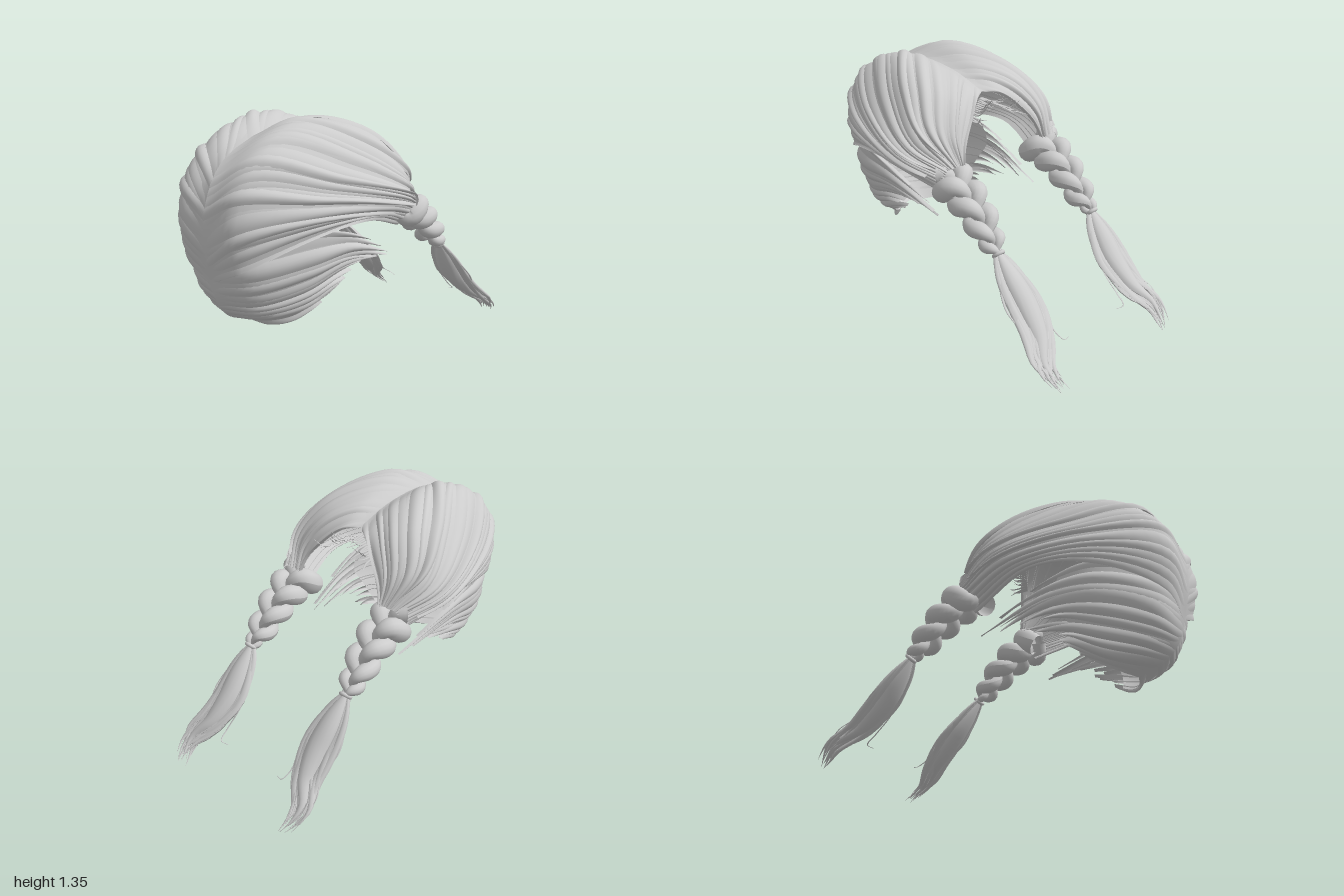
import * as THREE from 'three';

const V = (x, y, z) => new THREE.Vector3(x, y, z);
const curve = (pts) => new THREE.CatmullRomCurve3(pts.map((p) => (p.isVector3 ? p : V(...p))));
const clamp = THREE.MathUtils.clamp, lerp = THREE.MathUtils.lerp;
const material = new THREE.MeshStandardMaterial({ color: 0xcccccc, side: THREE.DoubleSide });

// Small seeded generator
let seed = 1;
const rnd = (a, b) => {
  seed = (seed * 16807) % 2147483647;
  return a + (b - a) * (seed / 2147483647);
};

// Grid surface from fn(s, t); side = -1 mirrors it in x
function surface(name, fn, ns, nt, side) {
  const pos = [], idx = [];
  for (let j = 0; j <= nt; j++) {
    for (let i = 0; i <= ns; i++) {
      const p = fn(i / ns, j / nt);
      pos.push(p.x * side, p.y, p.z);
      if (i === ns || j === nt) continue;
      const a = j * (ns + 1) + i, b = a + 1, c = a + ns + 1, d = c + 1;
      if (side > 0) idx.push(a, b, c, b, d, c);
      else idx.push(a, c, b, b, c, d);
    }
  }
  const g = new THREE.BufferGeometry();
  g.setAttribute('position', new THREE.Float32BufferAttribute(pos, 3));
  g.setIndex(idx);
  g.computeVertexNormals();
  const m = new THREE.Mesh(g, material);
  m.name = name;
  return m;
}

// Tapered lock swept along a path; radius(t) gives width, flat squashes its depth
function strand(name, path, radius, side, flat, ns = 8, nt = 20) {
  return surface(name, (s, t) => {
    const tan = path.getTangent(t);
    const across = V(0, 1, 0).cross(tan).normalize();
    const out = V().crossVectors(tan, across);
    const a = -s * Math.PI * 2, r = radius(t);
    return path.getPoint(t)
      .addScaledVector(across, Math.cos(a) * r)
      .addScaledVector(out, Math.sin(a) * r * flat);
  }, ns, nt, side);
}

// Patch through rows of guide hairs: u across the rows, v along the hair
function patch(rows) {
  const hairs = rows.map(curve);
  const at = (u, v) => curve(hairs.map((h) => h.getPoint(clamp(v, 0, 1)))).getPoint(clamp(u, 0, 1));
  const normal = (u, v) => {
    const vv = clamp(v, 0.02, 0.93), uu = clamp(u, 0.02, 0.98);
    const du = at(uu + 0.02, vv).sub(at(uu - 0.02, vv));
    const dv = at(uu, vv + 0.02).sub(at(uu, vv - 0.02));
    return du.cross(dv).normalize();
  };
  return { at, normal };
}

// Crown hair: parting to braid root, front hairline round to the nape
const crown = patch([
  [[0, 1.2, 0.01], [0.08, 1.18, -0.04], [0.17, 1.1, -0.09], [0.25, 1.0, -0.13], [0.29, 0.89, -0.16]],
  [[0, 1.27, 0.25], [0.1, 1.28, 0.14], [0.23, 1.21, 0.0], [0.32, 1.06, -0.1], [0.31, 0.91, -0.16]],
  [[0, 1.28, 0.55], [0.14, 1.34, 0.38], [0.32, 1.25, 0.13], [0.41, 1.08, -0.03], [0.35, 0.91, -0.16]],
  [[0, 1.17, 0.83], [0.18, 1.3, 0.61], [0.39, 1.17, 0.3], [0.48, 1.01, 0.03], [0.39, 0.9, -0.15]],
  [[0, 0.99, 0.94], [0.2, 1.13, 0.84], [0.41, 1.05, 0.5], [0.51, 0.95, 0.1], [0.41, 0.86, -0.15]],
  [[0, 0.79, 0.955], [0.19, 0.91, 0.93], [0.39, 0.94, 0.62], [0.48, 0.9, 0.18], [0.4, 0.81, -0.13]],
  [[0, 0.6, 0.92], [0.19, 0.69, 0.9], [0.37, 0.82, 0.62], [0.43, 0.86, 0.29], [0.33, 0.74, -0.1]],
]);

// Nape hair: lower parting swept round under the ears to loose tips
const nape = patch([
  [[0, 0.76, 0.93], [0.2, 0.81, 0.84], [0.35, 0.85, 0.6], [0.385, 0.81, 0.39], [0.36, 0.7, 0.1]],
  [[0, 0.61, 0.92], [0.2, 0.65, 0.85], [0.35, 0.7, 0.6], [0.375, 0.7, 0.33], [0.33, 0.57, -0.09]],
  [[0, 0.5, 0.89], [0.18, 0.51, 0.81], [0.31, 0.56, 0.6], [0.34, 0.61, 0.38], [0.31, 0.6, 0.08]],
  [[0, 0.41, 0.82], [0.15, 0.42, 0.74], [0.26, 0.45, 0.58], [0.3, 0.5, 0.44], [0.29, 0.54, 0.28]],
  [[0, 0.345, 0.66], [0.08, 0.34, 0.63], [0.17, 0.36, 0.56], [0.22, 0.4, 0.48], [0.25, 0.44, 0.42]],
]);

// Shingled, slightly domed lock lying on a patch
function lock(name, p, side, u0, width, drift, end, tip, lift) {
  return surface(name, (s, t) => {
    const v = t * end;
    const w = width * (tip ? 1 - Math.pow(t, 7) : 1);
    const u = clamp(u0 + drift * Math.sin(t * Math.PI) + (s - 0.5) * w, 0, 1);
    const rise = lift * (Math.sin(s * Math.PI) + 0.8 * s) * (0.2 + 0.8 * Math.sin(Math.min(t * 1.8, 1) * Math.PI / 2));
    return p.at(u, v).addScaledVector(p.normal(u, v), rise - 0.004);
  }, 6, 24, side);
}

function hairCap(side) {
  const g = new THREE.Group();
  g.add(surface('crownBase', (s, t) => crown.at(s, t), 28, 24, side));
  g.add(surface('napeBase', (s, t) => nape.at(s, t * 0.72), 18, 18, side));
  const add = (name, p, n, tip) => {
    for (let i = 0; i < n; i++) {
      const end = tip ? rnd(0.84, 1) : 1;
      g.add(lock(name, p, side, (i + 0.5) / n, rnd(1.1, 2.1) / n, rnd(-0.9, 0.9) / n, end, tip, rnd(0.005, 0.018)));
    }
  };
  add('crownLock', crown, 25, false);
  add('napeLock', nape, 13, true);
  // Loose locks lifting off the side of the head
  for (const [u, w] of [[0.36, 0.06], [0.58, 0.05], [0.7, 0.06]]) {
    g.add(lock('looseLock', crown, side, u, w, 0.04, 0.92, true, 0.024));
  }
  return g;
}

// Plait: three strands crossing over one another, shrinking to the tie
const braidPath = curve([[0.345, 0.84, -0.08], [0.345, 0.8, -0.2], [0.345, 0.72, -0.31], [0.35, 0.62, -0.41], [0.355, 0.55, -0.485]]);
function braid(side) {
  const g = new THREE.Group();
  const size = (t) => lerp(1.18, 0.66, t) * (1 - 0.66 * Math.pow(t, 8));
  for (let k = 0; k < 3; k++) {
    const phase = (t) => t * Math.PI * 2.8 + k * Math.PI * 2 / 3;
    const pts = [];
    for (let i = 0; i <= 30; i++) {
      const t = i / 30, a = phase(t), x = V(1, 0, 0);
      const out = V().crossVectors(braidPath.getTangent(t), x).normalize();
      pts.push(braidPath.getPoint(t)
        .addScaledVector(x, 0.058 * size(t) * Math.sin(a))
        .addScaledVector(out, 0.042 * size(t) * Math.sin(2 * a)));
    }
    // Each strand swells at the outside of its bend; fine ridges suggest hairs
    const swell = (t) => 0.84 - 0.2 * Math.cos(2 * phase(t));
    g.add(strand('braidStrand', curve(pts), (t) => 0.056 * size(t) * swell(t), side, 0.95, 14, 56));
  }
  const tie = new THREE.Mesh(new THREE.TorusGeometry(0.025, 0.011, 10, 24), material);
  tie.name = 'braidTie';
  tie.position.set(0.355 * side, 0.55, -0.485);
  tie.lookAt(0.36 * side, 0.45, -0.58);
  g.add(tie);
  return g;
}

// Tail: locks fanned round a swelling, waving bundle
const tailPath = curve([[0.355, 0.555, -0.48], [0.345, 0.44, -0.57], [0.34, 0.32, -0.67], [0.365, 0.21, -0.78], [0.425, 0.12, -0.88], [0.4, 0.025, -0.985]]);
function tail(side) {
  const g = new THREE.Group();
  const bulge = (t) => 0.016 + 0.078 * Math.pow(Math.sin(Math.PI * Math.pow(t, 0.72)), 1.3) + 0.012 * t;
  g.add(strand('tailCore', tailPath, (t) => bulge(t) * 0.72 * (1 - Math.pow(t, 3)), side, 0.75, 14, 24));
  const n = 24;
  for (let k = 0; k < n; k++) {
    const a = (k / n) * Math.PI * 2, end = rnd(0.84, 1), wave = rnd(0, 6), depth = rnd(0.75, 1.05);
    const pts = [];
    for (let i = 0; i <= 10; i++) {
      const t = (i / 10) * end, r = bulge(t) * depth, sway = 0.022 * t * t;
      pts.push(tailPath.getPoint(t).add(V(
        Math.cos(a) * r + sway * Math.sin(10 * t + wave),
        Math.sin(a) * r * 0.6 + sway * 0.5 * Math.cos(9 * t + wave),
        Math.sin(a) * r * 0.55)));
    }
    const w = rnd(0.013, 0.022);
    g.add(strand('tailLock', curve(pts), (t) => w * (0.35 + Math.sin(Math.PI * t)) * (1 - Math.pow(t, 5)) + 0.0008, side, 0.6));
  }
  // Fine curled strays beside the tail
  const strays = [
    [[0.355, 0.55, -0.49], [0.29, 0.44, -0.57], [0.235, 0.31, -0.68], [0.25, 0.2, -0.77], [0.235, 0.16, -0.83], [0.19, 0.15, -0.82]],
    [[0.36, 0.55, -0.49], [0.42, 0.45, -0.56], [0.46, 0.34, -0.65], [0.44, 0.24, -0.75], [0.48, 0.17, -0.83], [0.47, 0.12, -0.88]],
  ];
  for (const s of strays) g.add(strand('tailStray', curve(s), (t) => 0.009 * (1 - t * 0.8), side, 0.5, 6, 24));
  return g;
}

// Short wisps standing up along the front hairline
function wisps(side) {
  const g = new THREE.Group();
  for (let i = 0; i < 13; i++) {
    const x = 0.005 + i * 0.011, y = 1.18 - x * 0.55, z = 0.02 - x * 0.45;
    const len = rnd(0.09, 0.15), spread = rnd(-0.01, 0.05), h = rnd(-0.04, 0.04);
    const path = curve([[x, y - 0.02, z], [x + spread * 0.3, y - 0.02 + h * 0.2, z - len * 0.55], [x + spread, y + h, Math.max(z - len, -0.16)]]);
    g.add(strand('hairlineWisp', path, (t) => 0.011 * (1 - t * 0.85), side, 0.4, 6, 8));
  }
  return g;
}

export function createModel() {
  const model = new THREE.Group();
  model.name = 'braidedHair';
  seed = 1;
  const parts = { HairCap: hairCap, Braid: braid, Tail: tail, HairlineWisps: wisps };
  for (const side of [1, -1]) {
    for (const [name, build] of Object.entries(parts)) {
      const g = build(side);
      g.name = (side > 0 ? 'left' : 'right') + name;
      model.add(g);
    }
  }
  return model;
}
